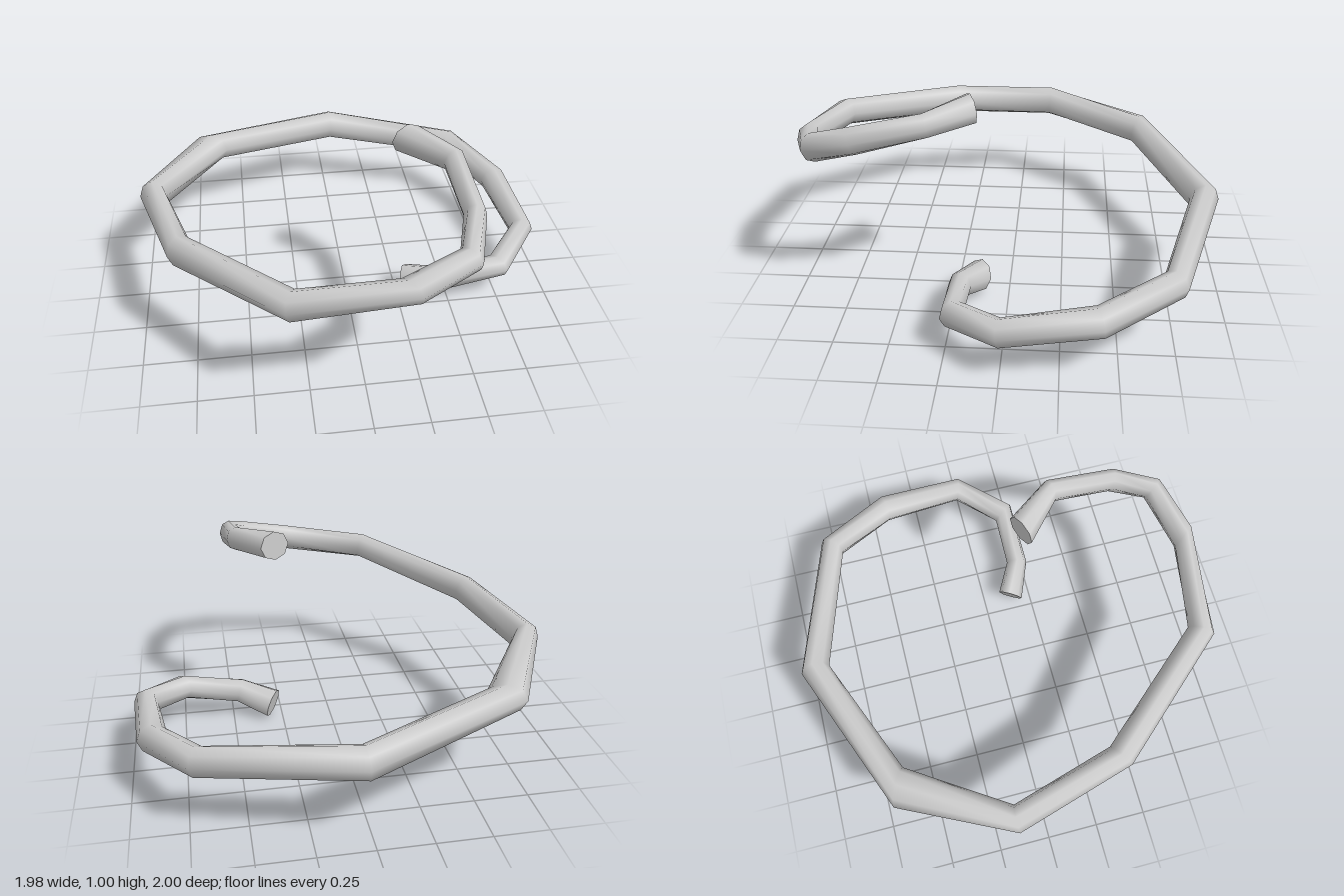
import * as THREE from 'three';

// Cross-sections from the low end to the high end:
// outer x, outer z, inner x, inner z, centre height, half thickness
const SECTIONS = [
  [0.265, 0.195, 0.33, 0.085, 0.08, 0.08],
  [0.45, 0.27, 0.47, 0.165, 0.13, 0.065],
  [0.785, 0.265, 0.71, 0.165, 0.18, 0.06],
  [0.985, 0.01, 0.87, -0.015, 0.23, 0.065],
  [0.955, -0.43, 0.82, -0.4, 0.275, 0.068],
  [0.735, -0.78, 0.66, -0.68, 0.34, 0.07],
  [0.03, -1.0, 0.04, -0.86, 0.39, 0.08],
  [-0.73, -0.69, -0.56, -0.61, 0.455, 0.072],
  [-0.99, -0.16, -0.86, -0.155, 0.495, 0.08],
  [-0.83, 0.41, -0.725, 0.335, 0.555, 0.075],
  [-0.35, 0.95, -0.29, 0.84, 0.65, 0.068],
  [0.18, 0.995, 0.1, 0.895, 0.715, 0.065],
  [0.43, 0.9, 0.355, 0.82, 0.78, 0.065],
  [0.5, 0.67, 0.405, 0.655, 0.845, 0.065],
  [0.48, 0.335, 0.385, 0.37, 0.915, 0.058],
  [0.33, 0.135, 0.19, 0.2, 0.93, 0.07],
];
const SIDES = 8;

// One ring of points per section, standing square to the path
function makeRings() {
  const centres = SECTIONS.map(([ox, oz, ix, iz, y]) => new THREE.Vector3((ox + ix) / 2, y, (oz + iz) / 2));
  return SECTIONS.map(([ox, oz, , , y, half], i) => {
    const c = centres[i];
    const side = new THREE.Vector3(ox, y, oz).sub(c);
    const tangent = centres[Math.min(i + 1, centres.length - 1)].clone().sub(centres[Math.max(i - 1, 0)]);
    const up = side.clone().cross(tangent).normalize().multiplyScalar(half);
    return Array.from({ length: SIDES }, (_, j) => {
      const a = (j / SIDES) * Math.PI * 2;
      return c.clone().addScaledVector(side, Math.cos(a)).addScaledVector(up, Math.sin(a));
    });
  });
}

function coilGeometry() {
  const rings = makeRings();
  const points = rings.flat();
  const index = [];
  // Smooth wall
  for (let i = 0; i < rings.length - 1; i++) {
    for (let j = 0; j < SIDES; j++) {
      const k = (j + 1) % SIDES;
      const a = i * SIDES + j, b = i * SIDES + k;
      const c = a + SIDES, d = b + SIDES;
      index.push(a, c, b, b, c, d);
    }
  }
  // Flat end caps with their own points, so the rim stays sharp
  [[rings[0], false], [rings[rings.length - 1], true]].forEach(([ring, flip]) => {
    const start = points.length;
    points.push(...ring);
    for (let j = 1; j < SIDES - 1; j++) {
      index.push(start, start + (flip ? j + 1 : j), start + (flip ? j : j + 1));
    }
  });
  const geometry = new THREE.BufferGeometry().setFromPoints(points);
  geometry.setIndex(index);
  geometry.computeVertexNormals();
  return geometry;
}

export function createModel() {
  const group = new THREE.Group();
  group.name = 'spiralCoil';
  const coil = new THREE.Mesh(coilGeometry(), new THREE.MeshStandardMaterial({ color: 0xcccccc }));
  coil.name = 'coil';
  group.add(coil);
  return group;
}
